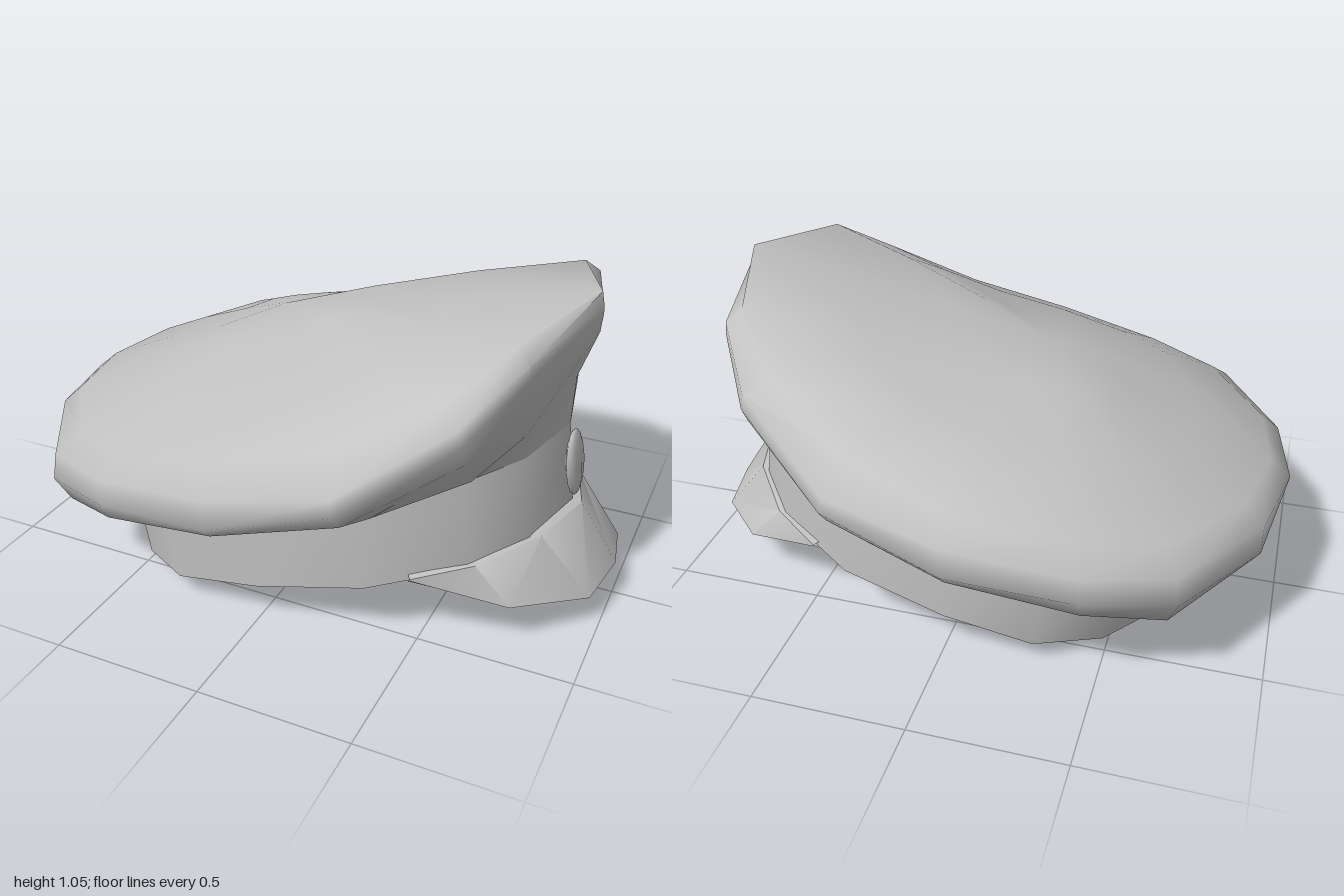
import * as THREE from 'three';
import { toCreasedNormals } from 'three/addons/utils/BufferGeometryUtils.js';

const greyCloth = new THREE.MeshStandardMaterial({ color: 0xbfbfbf, side: THREE.DoubleSide });
greyCloth.name = 'grey cloth';

// Mirrors a half row of points (x, y, z >= 0) across z = 0
const flip = ([x, y, z]) => [x, y, -z];
const closedRing = (half) => [...half, ...half.slice(1, -1).reverse().map(flip)];
const openRow = (half) => [...half.slice(1).reverse().map(flip), ...half];

// Skins a stack of equally long rows, bottom to top
function loft(rows, closed, crease) {
  const n = rows[0].length;
  const index = [];
  for (let j = 0; j < rows.length - 1; j++) {
    for (let i = 0; i < (closed ? n : n - 1); i++) {
      const a = j * n + i, b = j * n + (i + 1) % n;
      index.push(a, a + n, b, b, a + n, b + n);
    }
  }
  const g = new THREE.BufferGeometry();
  g.setAttribute('position', new THREE.Float32BufferAttribute(rows.flat(2), 3));
  g.setIndex(index);
  return toCreasedNormals(g, crease);
}

function part(group, name, geometry) {
  const mesh = new THREE.Mesh(geometry, greyCloth);
  mesh.name = name;
  group.add(mesh);
  return mesh;
}

export function createModel() {
  const cap = new THREE.Group();
  cap.name = 'peakedCap';

  // Head band: a tilted ring, front towards +x
  const plan = [[0.84, 0], [0.77, 0.25], [0.63, 0.42], [0.35, 0.58], [0, 0.63],
    [-0.29, 0.62], [-0.49, 0.49], [-0.66, 0.23], [-0.69, 0]];
  const bandBottom = plan.map(([x, z]) => [x, 0.133 + 0.192 * x, z]);
  const bandTop = plan.map(([x, z]) => [x - (x > 0 ? 0.035 : 0.05), 0.41 + 0.22 * x, z * 0.99]);
  part(cap, 'headBand', loft([bandBottom, bandTop].map(closedRing), true, 1.0));

  // Lining: slopes inward from the opening to a shallow ceiling, cut straight behind the visor
  const mouth = plan.map(([x, z]) => {
    const cut = Math.min(x, 0.48);
    return [cut, 0.133 + 0.192 * cut, z];
  });
  const inset = (scale, lift) => mouth.map(([x, y, z]) =>
    [-0.06 + (x + 0.06) * scale, 0.121 + (y - 0.121) * scale + lift, z * scale]);
  part(cap, 'lining', loft([inset(0, 0.25), inset(0.62, 0.2), mouth].map(closedRing), true, 1.1));

  // Crown: neck, rolled rim and domed top
  const neck = [[0.81, 0.76, 0], [0.75, 0.7, 0.33], [0.64, 0.6, 0.48], [0.38, 0.48, 0.61],
    [-0.06, 0.38, 0.67], [-0.42, 0.3, 0.64], [-0.64, 0.25, 0.52], [-0.76, 0.22, 0.25], [-0.8, 0.22, 0]];
  const lowerRim = [[0.865, 0.92, 0], [0.76, 0.84, 0.38], [0.65, 0.7, 0.55], [0.33, 0.5, 0.72],
    [-0.06, 0.4, 0.785], [-0.46, 0.33, 0.74], [-0.7, 0.27, 0.62], [-0.85, 0.22, 0.3], [-0.88, 0.22, 0]];
  const outerRim = [[0.87, 0.98, 0], [0.77, 0.92, 0.41], [0.64, 0.77, 0.6], [0.33, 0.56, 0.77],
    [-0.06, 0.44, 0.82], [-0.46, 0.4, 0.78], [-0.73, 0.36, 0.66], [-0.94, 0.34, 0.31], [-0.98, 0.33, 0]];
  const upperRim = [[0.87, 1.0, 0], [0.765, 0.96, 0.41], [0.63, 0.82, 0.6], [0.32, 0.61, 0.765],
    [-0.06, 0.54, 0.82], [-0.46, 0.48, 0.77], [-0.72, 0.45, 0.65], [-0.94, 0.44, 0.31], [-1, 0.44, 0]];
  const topRim = [[0.86, 1.05, 0], [0.72, 1.0, 0.38], [0.57, 0.87, 0.54], [0.28, 0.71, 0.67],
    [-0.07, 0.61, 0.73], [-0.43, 0.54, 0.69], [-0.67, 0.51, 0.58], [-0.88, 0.5, 0.28], [-0.93, 0.5, 0]];
  const apex = [-0.2, 0.83, 0];
  const dome = (t) => topRim.map((p) => p.map((v, k) =>
    v + (apex[k] - v) * t + (k === 1 ? 0.2 * p[2] * t * (1 - t) : 0)));
  part(cap, 'crown', loft([bandTop, neck, lowerRim, outerRim, upperRim, topRim, dome(0.35), dome(0.7), dome(1)]
    .map(closedRing), true, 1.1));

  // Visor: flat underside, lip, upper face and a small ledge against the band
  const visor = [
    [[0.48, 0.225, 0], [0.48, 0.225, 0.23], [0.48, 0.225, 0.41], [0.47, 0.225, 0.52]],
    [[0.985, 0.097, 0], [0.945, 0.09, 0.2], [0.65, 0.144, 0.41], [0.48, 0.23, 0.52]],
    [[1, 0.118, 0], [0.965, 0.1, 0.2], [0.765, 0.149, 0.42], [0.48, 0.235, 0.53]],
    [[0.868, 0.318, 0], [0.8, 0.306, 0.23], [0.65, 0.27, 0.42], [0.48, 0.24, 0.53]],
    [[0.8, 0.328, 0], [0.74, 0.314, 0.23], [0.6, 0.278, 0.4], [0.46, 0.245, 0.5]],
  ];
  part(cap, 'visor', loft(visor.map(openRow), false, 0.8));

  // Oval badge on the front of the band
  const badge = part(cap, 'badge', new THREE.SphereGeometry(1, 10, 8));
  badge.scale.set(0.022, 0.112, 0.086);
  badge.position.set(0.832, 0.46, 0);
  badge.rotation.z = 0.13;

  return cap;
}
